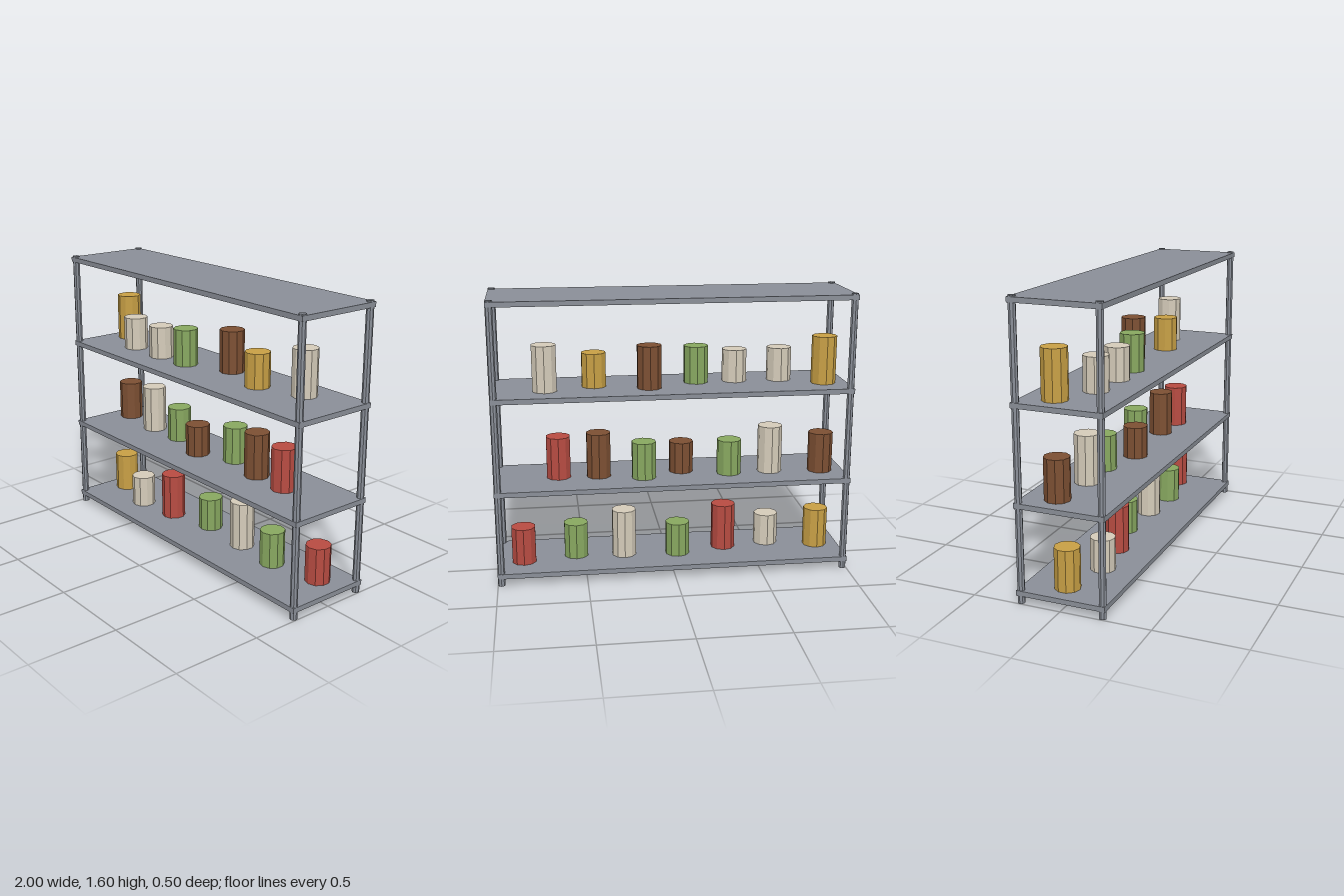
import * as THREE from 'three';

const paint = (name, color) => {
  const m = new THREE.MeshStandardMaterial({ color, flatShading: true });
  m.name = name;
  return m;
};

export function createModel() {
  const steel = paint('steel grey', 0x8a8f98);
  const gold = paint('gold', 0xc8a045);
  const cream = paint('cream', 0xd5ccba);
  const green = paint('green', 0x88a860);
  const brown = paint('brown', 0x7d5033);
  const red = paint('red', 0xb84c42);

  const model = new THREE.Group();
  model.name = 'shelvingUnit';
  const add = (parent, name, geometry, material, x, y, z) => {
    const mesh = new THREE.Mesh(geometry, material);
    mesh.name = name;
    mesh.position.set(x, y, z);
    parent.add(mesh);
  };

  // Four corner posts
  const postGeometry = new THREE.CylinderGeometry(0.02, 0.02, 1.6, 8);
  for (const x of [-0.98, 0.98])
    for (const z of [-0.23, 0.23]) add(model, 'post', postGeometry, steel, x, 0.8, z);

  // Four shelf boards, given by their top heights
  const thickness = 0.028;
  const shelfTops = [0.072, 0.55, 1.072, 1.593];
  const boardGeometry = new THREE.BoxGeometry(2, thickness, 0.5);
  for (const top of shelfTops) add(model, 'shelf', boardGeometry, steel, 0, top - thickness / 2, 0);

  // Jars on each shelf: colour, x, z, height of the top
  const rows = [
    [
      [gold, -0.865, -0.02, 0.302], [cream, -0.58, 0.05, 0.257], [red, -0.315, 0.015, 0.34],
      [green, -0.035, -0.05, 0.265], [cream, 0.275, -0.03, 0.348], [green, 0.552, -0.01, 0.275],
      [red, 0.852, -0.065, 0.283],
    ],
    [
      [brown, -0.865, -0.068, 0.78], [cream, -0.573, -0.04, 0.823], [green, -0.333, -0.05, 0.751],
      [brown, -0.065, 0.023, 0.73], [green, 0.16, -0.07, 0.762], [brown, 0.413, -0.01, 0.807],
      [red, 0.64, 0, 0.791],
    ],
    [
      [gold, -0.865, -0.07, 1.342], [cream, -0.632, 0.045, 1.262], [cream, -0.373, 0.048, 1.257],
      [green, -0.151, 0.04, 1.283], [brown, 0.126, -0.07, 1.313], [gold, 0.43, 0.01, 1.265],
      [cream, 0.705, -0.07, 1.33],
    ],
  ];
  rows.forEach((row, i) => {
    const jars = new THREE.Group();
    jars.name = 'jarRow';
    for (const [material, x, z, top] of row) {
      const height = top - shelfTops[i];
      add(jars, 'jar', new THREE.CylinderGeometry(0.07, 0.07, height, 10), material, x, top - height / 2, z);
    }
    model.add(jars);
  });

  return model;
}
